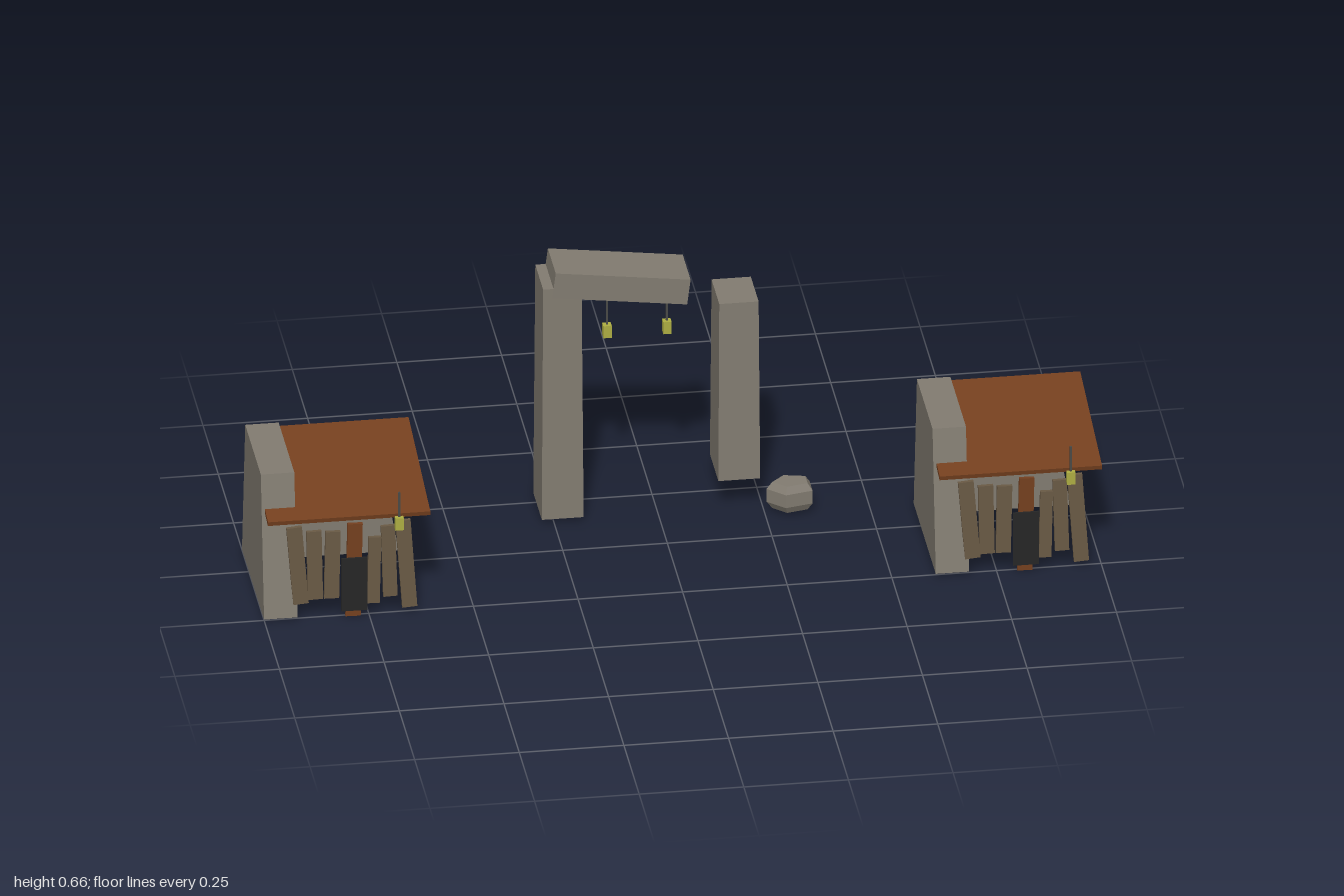
import * as THREE from 'three';

const mat = (name, color) => {
  const m = new THREE.MeshStandardMaterial({ color });
  m.name = name;
  return m;
};

export function createModel() {
  const stone = mat('stone', 0x827c71);
  const roofWood = mat('roof wood', 0x75401f);
  const plankWood = mat('plank wood', 0x6a5a45);
  const black = mat('dark panel', 0x262626);
  const iron = mat('iron', 0x4a4a46);
  const glow = mat('lantern yellow', 0xaeae42);

  const add = (parent, name, geo, material, x, y, z) => {
    const m = new THREE.Mesh(geo, material);
    m.name = name;
    m.position.set(x, y, z);
    parent.add(m);
    return m;
  };

  // Block standing on its base, with its top scaled in x and z
  const taperedBlock = (w, h, d, sx, sz) => {
    const g = new THREE.BoxGeometry(w, h, d).translate(0, h / 2, 0);
    const p = g.attributes.position;
    for (let i = 0; i < p.count; i++) {
      if (p.getY(i) > h / 2) p.setXYZ(i, p.getX(i) * sx, h, p.getZ(i) * sz);
    }
    g.computeVertexNormals();
    return g;
  };

  // Lantern hanging on a thin rod; y is the rod's top
  const addLantern = (parent, x, y, z) => {
    const lantern = new THREE.Group();
    lantern.name = 'lantern';
    lantern.position.set(x, y, z);
    add(lantern, 'lanternRod', new THREE.BoxGeometry(0.005, 0.07, 0.005), iron, 0, -0.035, 0);
    add(lantern, 'lanternBody', new THREE.BoxGeometry(0.02, 0.032, 0.02), glow, 0, -0.081, 0);
    parent.add(lantern);
  };

  // Plank: x, width, bottom, top, tilt
  const planks = [
    [0.684, 0.037, 0.045, 0.25, 0.08],
    [0.725, 0.036, 0.055, 0.236, 0.02],
    [0.767, 0.036, 0.055, 0.232, -0.02],
    [0.867, 0.03, 0.035, 0.21, -0.02],
    [0.903, 0.034, 0.05, 0.238, 0.03],
    [0.944, 0.036, 0.018, 0.25, 0.07],
  ];

  const createHut = () => {
    const hut = new THREE.Group();
    hut.name = 'hut';
    add(hut, 'sideWall', taperedBlock(0.08, 0.36, 0.361, 1, 0.708), stone, 0.643, 0.013, 0.082);
    add(hut, 'backWall', taperedBlock(0.366, 0.299, 0.061, 0.71, 1), stone, 0.786, 0.013, -0.069);

    const roof = add(hut, 'roof', new THREE.BoxGeometry(0.388, 0.011, 0.363), roofWood, 0.805, 0.305, 0.093);
    roof.rotation.x = 0.183;

    for (const [x, w, y0, y1, tilt] of planks) {
      const p = add(hut, 'frontPlank', new THREE.BoxGeometry(w, y1 - y0, 0.009), plankWood, x, (y0 + y1) / 2, 0.2535);
      p.rotation.z = tilt;
    }
    const post = add(hut, 'doorPlank', new THREE.BoxGeometry(0.036, 0.245, 0.009), roofWood, 0.819, 0.127, 0.254);
    post.rotation.z = -0.02;
    add(hut, 'doorPanel', new THREE.BoxGeometry(0.062, 0.14, 0.005), black, 0.819, 0.091, 0.261);
    addLantern(hut, 0.924, 0.335, 0.274);
    return hut;
  };

  const model = new THREE.Group();
  model.name = 'ruinedGateAndHuts';

  // Two identical huts
  for (const x of [0, -1.605]) {
    const hut = createHut();
    hut.position.x = x;
    model.add(hut);
  }

  // Broken stone gate
  const gate = new THREE.Group();
  gate.name = 'gate';
  add(gate, 'tallPillar', taperedBlock(0.1, 0.612, 0.14, 0.92, 0.92), stone, -0.229, 0.013, -0.213);
  add(gate, 'raisedPillar', taperedBlock(0.1, 0.47, 0.138, 0.94, 0.92), stone, 0.193, 0.084, -0.213);
  const lintel = add(gate, 'lintel', new THREE.BoxGeometry(0.325, 0.066, 0.129), stone, -0.088, 0.613, -0.2125);
  lintel.rotation.z = -0.127;
  for (const x of [-0.113, 0.03]) addLantern(gate, x, 0.552, -0.213);
  model.add(gate);

  // Five-sided boulder
  const profile = [[0, 0], [0.045, 0], [0.059, 0.018], [0.059, 0.052], [0.045, 0.07], [0, 0.07]]
    .map(([r, y]) => new THREE.Vector2(r, y));
  const rockGeo = new THREE.LatheGeometry(profile, 5, -Math.PI / 2).scale(1, 1, 0.7).toNonIndexed();
  rockGeo.computeVertexNormals();
  add(model, 'boulder', rockGeo, stone, 0.314, 0.013, -0.124);

  return model;
}
